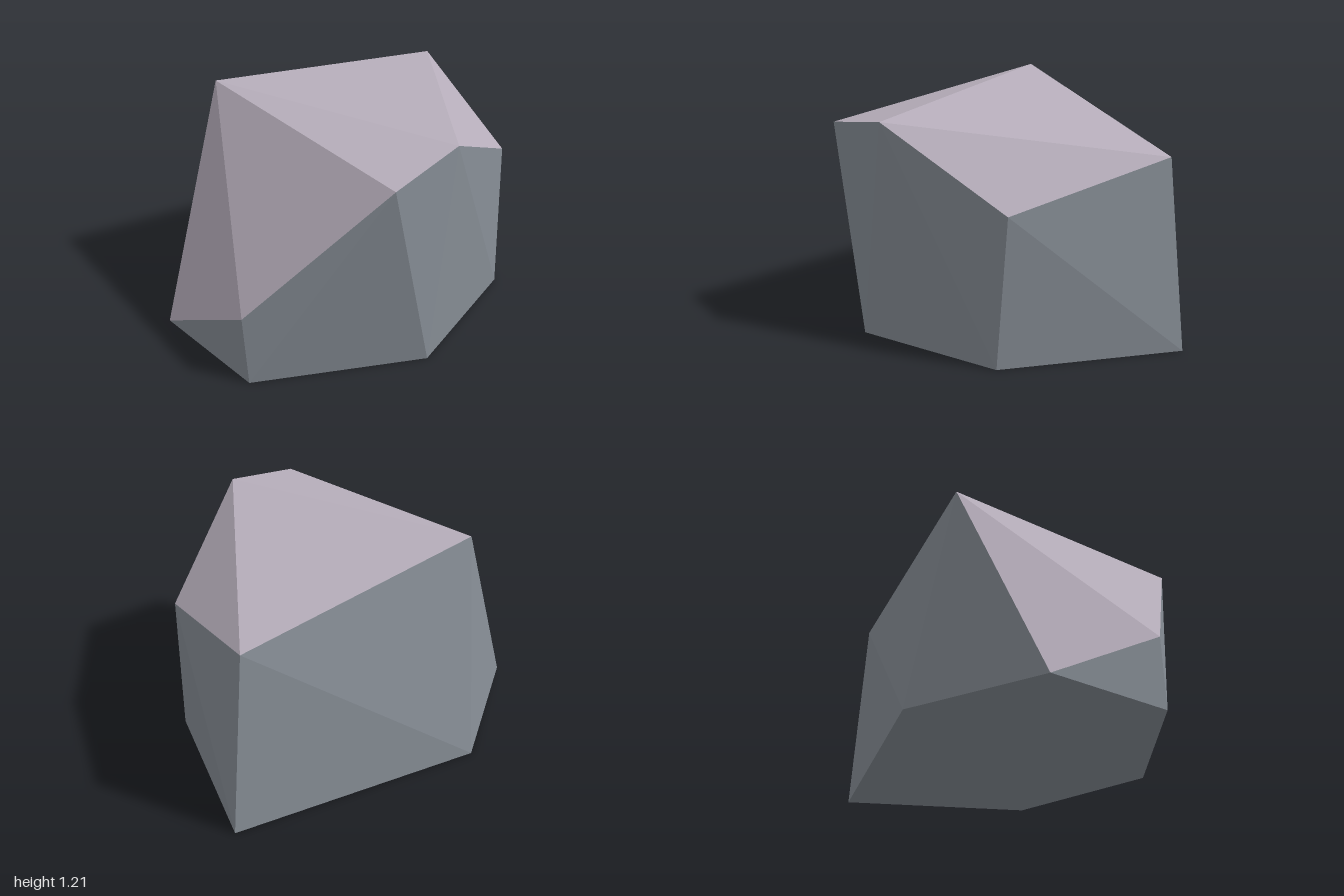
import * as THREE from 'three';

// Corner points of the boulder
const P = {
  // ground ring
  A: [-0.77, 0, 0.37], B: [-0.51, 0, -1.0], C: [0.42, 0, -0.68],
  D: [0.75, 0, 0.09], E: [0.36, 0, 0.94], F: [-0.31, 0.035, 1.0],
  // upper ring
  G: [-0.56, 1.21, 0.48], H: [0.77, 1.1, 0.335], I: [0.73, 1.19, -0.09],
  J: [0.38, 0.81, -0.72], K: [-0.47, 1.02, -0.9], L: [0.33, 0.38, 0.95],
};
const CENTRE = new THREE.Vector3(0, 0.55, 0);

// Flat facets from corner names, each turned to face away from the centre
function facets(name, list, material) {
  const pos = [];
  for (const face of list.split(' ')) {
    const [a, b, c] = [...face].map((k) => new THREE.Vector3(...P[k]));
    const n = b.clone().sub(a).cross(c.clone().sub(a));
    const outward = n.dot(a.clone().sub(CENTRE)) > 0;
    for (const v of outward ? [a, b, c] : [a, c, b]) pos.push(v.x, v.y, v.z);
  }
  const geo = new THREE.BufferGeometry();
  geo.setAttribute('position', new THREE.Float32BufferAttribute(pos, 3));
  geo.computeVertexNormals();
  const mesh = new THREE.Mesh(geo, material);
  mesh.name = name;
  return mesh;
}

export function createModel() {
  const paleStone = new THREE.MeshStandardMaterial({ color: 0xb7aebb, flatShading: true });
  paleStone.name = 'paleStone';
  const slateStone = new THREE.MeshStandardMaterial({ color: 0x878e96, flatShading: true });
  slateStone.name = 'slateStone';

  const rock = new THREE.Group();
  rock.name = 'rock';
  rock.add(
    facets('rockTop', 'GHI GIK KIJ', paleStone),
    facets('rockFrontSlope', 'GFL GLH', paleStone),
    facets('rockFrontFoot', 'FEL', slateStone),
    facets('rockLeftSide', 'ELH EDH HDI IDC ICJ', slateStone),
    facets('rockBack', 'KJB JCB', slateStone),
    facets('rockRightSide', 'AFG AGK AKB', slateStone),
    facets('rockBase', 'AFE AED ADC ACB', slateStone),
  );
  return rock;
}
